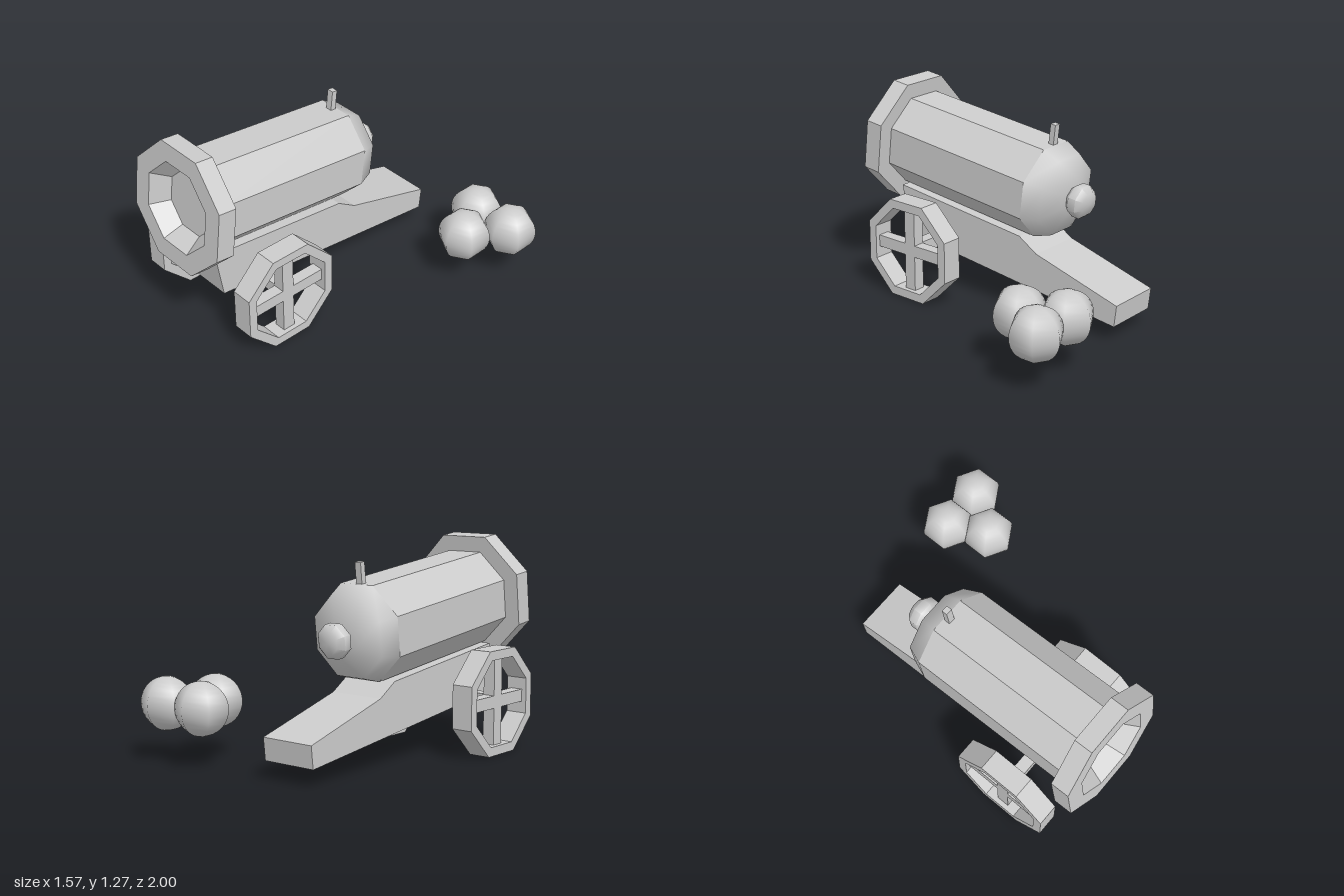
import * as THREE from 'three';
import { toCreasedNormals } from 'three/addons/utils/BufferGeometryUtils.js';

const flat = new THREE.MeshStandardMaterial({ color: 0xcccccc, flatShading: true });
const smooth = new THREE.MeshStandardMaterial({ color: 0xcccccc });
const toCorner = 1 / Math.cos(Math.PI / 8); // flat-side distance to corner radius

function add(parent, name, geometry, material, x = 0, y = 0, z = 0) {
  const mesh = new THREE.Mesh(geometry, material);
  mesh.name = name;
  mesh.position.set(x, y, z);
  parent.add(mesh);
  return mesh;
}

// Eight-sided turned part along z; points are [flat-side distance, z], from back to front
function turned(points) {
  const profile = points.map(([r, z]) => new THREE.Vector2(r * toCorner, z));
  return new THREE.LatheGeometry(profile, 8, Math.PI / 8).rotateX(Math.PI / 2);
}

function octagon(Type, apothem) {
  const points = [];
  for (let i = 0; i < 8; i++) {
    const a = (i + 0.5) * Math.PI / 4;
    points.push(new THREE.Vector2(Math.cos(a), Math.sin(a)).multiplyScalar(apothem * toCorner));
  }
  return new Type(points);
}

// Extrudes a (z, y) outline sideways, centred on x = 0
function sideways(shape, width) {
  return new THREE.ExtrudeGeometry(shape, { depth: width, bevelEnabled: false })
    .translate(0, 0, -width / 2)
    .rotateY(-Math.PI / 2);
}

function createBarrel() {
  const barrel = new THREE.Group();
  barrel.name = 'barrel';
  add(barrel, 'barrelBody', turned([[0.28, -1.184], [0.28, -0.1]]), flat);
  add(barrel, 'muzzleRing', turned([
    [0.25, -0.118], [0.375, -0.118], [0.375, 0], [0.258, 0], [0.188, -0.11], [0, -0.11],
  ]), flat);
  const dome = turned([[0, -1.36], [0.1, -1.35], [0.237, -1.295], [0.28, -1.184]]);
  add(barrel, 'breechDome', toCreasedNormals(dome, 1), smooth);
  const knob = turned([
    [0, -1.475], [0.065, -1.47], [0.097, -1.435], [0.097, -1.385], [0.065, -1.35], [0, -1.345],
  ]);
  add(barrel, 'breechKnob', toCreasedNormals(knob, 1), smooth);
  add(barrel, 'fuse', new THREE.BoxGeometry(0.042, 0.14, 0.036), flat, -0.01, 0.335, -1.155);
  return barrel;
}

function createWheel() {
  const wheel = new THREE.Group();
  wheel.name = 'wheel';
  const rim = octagon(THREE.Shape, 0.315);
  rim.holes.push(octagon(THREE.Path, 0.26));
  add(wheel, 'wheelRim', sideways(rim, 0.135), flat);
  add(wheel, 'uprightSpoke', new THREE.BoxGeometry(0.075, 0.54, 0.08), flat);
  add(wheel, 'levelSpoke', new THREE.BoxGeometry(0.075, 0.075, 0.54), flat);
  return wheel;
}

export function createModel() {
  const model = new THREE.Group();
  model.name = 'cannonAndBalls';

  // Cannon, turned very slightly off straight
  const cannon = new THREE.Group();
  cannon.name = 'cannon';
  cannon.position.set(-0.307, 0, 0.53);
  cannon.rotation.y = -0.0135;
  model.add(cannon);

  const barrel = createBarrel();
  barrel.position.set(0, 0.903, 0.427);
  barrel.rotation.x = -0.113;
  cannon.add(barrel);

  // Carriage beam with a lower trail at the back
  const outline = [
    [0.79, 0.295], [0.84, 0.605], [-0.12, 0.492], [-0.25, 0.41], [-0.845, 0.24], [-0.83, 0.105],
  ].map(([z, y]) => new THREE.Vector2(z - 0.53, y));
  add(cannon, 'carriage', sideways(new THREE.Shape(outline), 0.35), flat);

  // Axle and wheels
  add(cannon, 'axle', new THREE.BoxGeometry(0.82, 0.075, 0.075), flat, 0, 0.32, 0);
  for (const side of [-1, 1]) {
    const wheel = createWheel();
    wheel.name = side > 0 ? 'leftWheel' : 'rightWheel';
    wheel.position.set(side * 0.41, 0.316, 0);
    cannon.add(wheel);
  }

  // Six-sided cannonballs
  const ball = new THREE.SphereGeometry(0.16, 6, 16).rotateY(Math.PI / 2);
  for (const [x, z] of [[0.362, -0.84], [0.64, -0.84], [0.48, -0.6]]) {
    add(model, 'cannonball', ball, smooth, x, 0.34, z);
  }
  return model;
}
